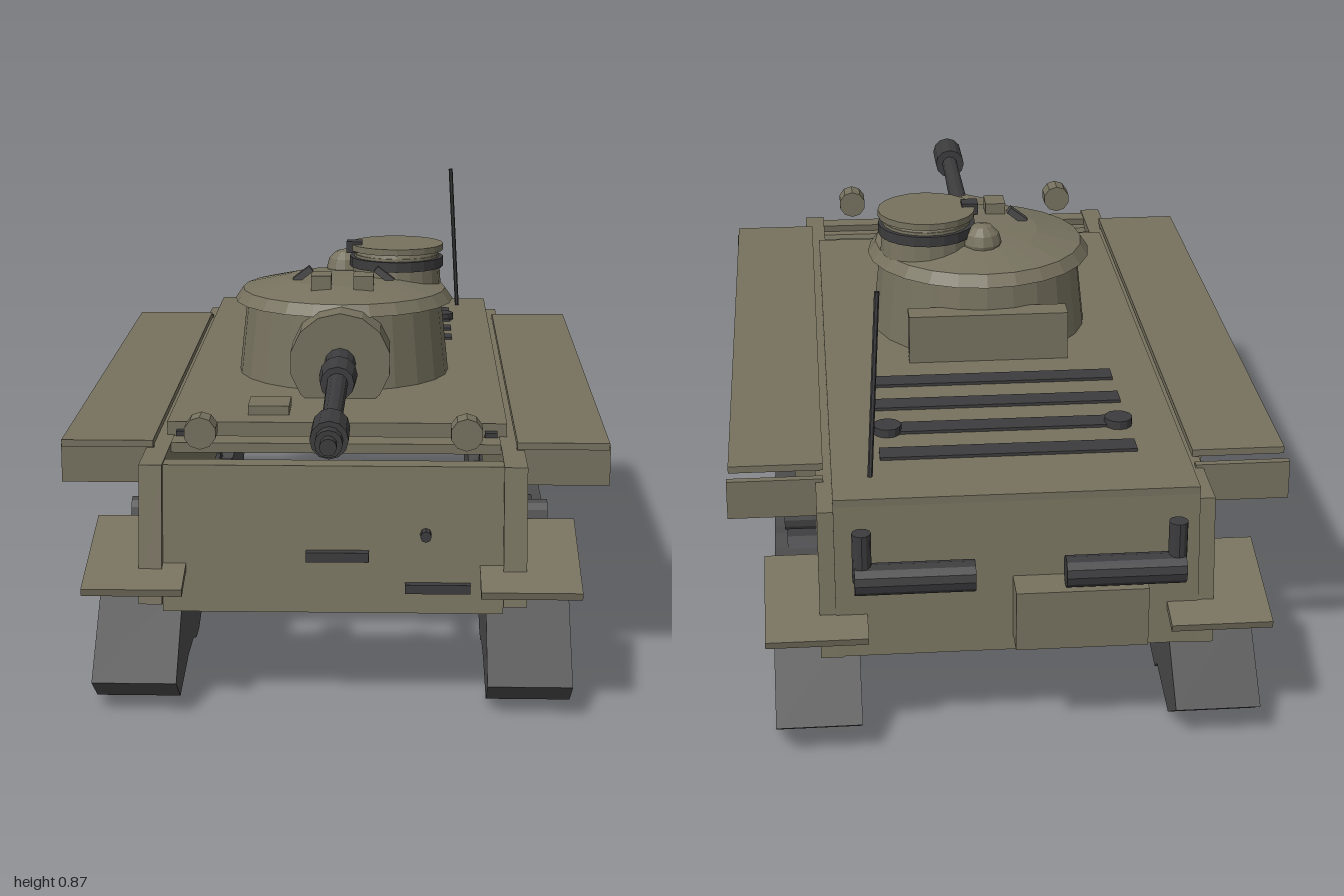
import * as THREE from 'three';

const mat = (color) => new THREE.MeshStandardMaterial({ color, flatShading: true, side: THREE.DoubleSide });

export function createModel() {
  const root = new THREE.Group();
  const olive = mat(0x77725f), dark = mat(0x3c3c3e), trackGrey = mat(0x4c4c4d);

  const add = (name, geo, m, x = 0, y = 0, z = 0) => {
    const mesh = new THREE.Mesh(geo, m);
    mesh.name = name;
    mesh.position.set(x, y, z);
    root.add(mesh);
    return mesh;
  };
  // box given by its limits on each axis
  const box = (name, m, [x0, x1], [y0, y1], [z0, z1]) =>
    add(name, new THREE.BoxGeometry(x1 - x0, y1 - y0, z1 - z0), m, (x0 + x1) / 2, (y0 + y1) / 2, (z0 + z1) / 2);
  const cyl = (name, m, r0, r1, h, axis, x, y, z, n = 12) => {
    const g = new THREE.CylinderGeometry(r0, r1, h, n);
    if (axis === 'x') g.rotateZ(Math.PI / 2);
    if (axis === 'z') g.rotateX(Math.PI / 2);
    return add(name, g, m, x, y, z);
  };
  // side outline of [z, y] points, extruded between x0 and x1
  const slab = (name, m, pts, x0, x1) => {
    const shape = new THREE.Shape(pts.map(([z, y]) => new THREE.Vector2(z, y)));
    const g = new THREE.ExtrudeGeometry(shape, { depth: x1 - x0, bevelEnabled: false });
    g.rotateY(-Math.PI / 2);
    return add(name, g, m, x1, 0, 0);
  };

  // Hull: open-bottomed shell of plates
  const W = 0.33;
  box('deck', olive, [-0.345, 0.345], [0.475, 0.505], [-0.905, 0.5]);
  box('frontCrossPlate', olive, [-W, W], [0.46, 0.48], [0.515, 0.575]);
  slab('frontPlate', olive, [[0.73, 0.475], [0.765, 0.19], [0.735, 0.19], [0.685, 0.475]], -W, W);
  slab('lowerFrontPlate', olive, [[0.685, 0.46], [0.59, 0.14], [0.565, 0.14], [0.66, 0.46]], -W, W);
  slab('rearPlate', olive, [[-0.905, 0.49], [-0.88, 0.49], [-0.905, 0.19], [-0.935, 0.19]], -0.345, 0.345);

  // Road wheel positions and track outline
  const wheels = [0.39, 0.203, 0.016, -0.171, -0.358, -0.545];
  const bottom = [], top = [];
  wheels.forEach((z) => {
    bottom.push([z + 0.094, 0.037], [z + 0.03, 0.016], [z - 0.03, 0.016]);
    top.unshift([z - 0.05, 0.147], [z, 0.155], [z + 0.05, 0.147]);
  });
  const trackOutline = [
    [0.66, 0.215], [0.832, 0.065], [0.755, 0.012], [0.59, 0.037], ...bottom,
    [-0.64, 0.037], [-0.735, 0.016], [-0.76, 0.037], [-0.9, 0.012], [-0.985, 0.068], [-0.83, 0.215],
    [-0.69, 0.15], ...top, [0.52, 0.15],
  ];

  for (const s of [1, -1]) {
    const span = (a, b) => (s > 0 ? [a, b] : [-b, -a]);
    slab('sidePlate', olive, [[0.745, 0.478], [0.785, 0.21], [0.71, 0.188], [-0.935, 0.188], [-0.9, 0.478]], ...span(W, 0.375));

    // Fender with its end plates and sloping mudguards
    box('fender', olive, span(0.36, 0.542), [0.483, 0.497], [-0.73, 0.625]);
    box('fenderEndPlate', olive, span(0.36, 0.545), [0.407, 0.485], [0.595, 0.61]);
    box('fenderEndPlate', olive, span(0.36, 0.545), [0.407, 0.485], [-0.772, -0.757]);
    const guardF = box('frontMudguard', olive, span(0.285, 0.478), [0.28, 0.295], [0.575, 0.85]);
    guardF.rotation.x = 0.26;
    const guardR = box('rearMudguard', olive, span(0.285, 0.478), [0.273, 0.288], [-0.992, -0.755]);
    guardR.rotation.x = -0.255;

    // Side fittings
    box('sideStowageBox', olive, span(0.315, 0.415), [0.37, 0.43], [-0.545, -0.39]);
    box('sideTool', dark, span(0.37, 0.388), [0.3, 0.318], [-0.045, 0.2]);
    for (const z of [0.333, -0.487]) cyl('sideDrum', trackGrey, 0.033, 0.033, 0.1, 'x', s * 0.39, 0.268, z);

    // Running gear
    slab('track', trackGrey, trackOutline, ...span(0.3, 0.464));
    wheels.forEach((z) => {
      cyl('roadWheel', dark, 0.085, 0.085, 0.11, 'x', s * 0.382, 0.085, z, 16);
    });
    for (const z of [0.6, -0.765]) {
      cyl('endWheel', dark, 0.075, 0.075, 0.12, 'x', s * 0.385, 0.157, z, 16);
      cyl('endWheelHub', trackGrey, 0.02, 0.02, 0.15, 'x', s * 0.385, 0.18, z);
    }

    // Lamps, deck caps and exhausts
    cyl('headlamp', olive, 0.032, 0.032, 0.05, 'z', s * 0.258, 0.535, 0.695, 10);
    cyl('deckCap', dark, 0.028, 0.028, 0.018, 'y', s * 0.23, 0.513, -0.615);
    cyl('exhaust', dark, 0.03, 0.03, 0.225, 'x', s * 0.197, 0.37, -0.965);
    cyl('exhaustPipe', dark, 0.018, 0.018, 0.1, 'y', s * 0.295, 0.415, -0.962);
    box('deckBracket', dark, span(0.3, 0.325), [0.465, 0.49], [0.495, 0.52]);

    // Roof periscopes and tilted covers
    box('periscope', olive, span(0.024, 0.068), [0.7, 0.74], [0.06, 0.12]);
    const cover = box('roofLoop', trackGrey, span(0.067, 0.113), [0.719, 0.734], [0.01, 0.03]);
    cover.rotation.z = -s * 0.65;
  }
  box('rearStowageBox', olive, [-0.24, 0.01], [0.22, 0.34], [-0.99, -0.92]);

  // Front plate fittings
  slab('visor', dark, [[0.77, 0.293], [0.77, 0.312], [0.74, 0.312], [0.74, 0.293]], -0.052, 0.07);
  box('frontTool', dark, [0.14, 0.267], [0.232, 0.25], [0.74, 0.775]);
  box('visorBacking', dark, [-0.055, 0.06], [0.4, 0.44], [0.64, 0.69]);
  cyl('hullGun', dark, 0.011, 0.011, 0.1, 'z', 0.18, 0.345, 0.72, 8);
  add('hullGunBall', new THREE.SphereGeometry(0.028, 10, 6), dark, 0.18, 0.345, 0.635);

  // Deck fittings
  for (const z of [-0.72, -0.605, -0.49, -0.375]) box('engineGrille', dark, [-0.25, 0.25], [0.5, 0.511], [z - 0.023, z + 0.023]);
  box('driverHatch', olive, [-0.185, -0.1], [0.5, 0.524], [0.35, 0.437]);
  const rod = new THREE.LineCurve3(new THREE.Vector3(0.272, 0.5, -0.81), new THREE.Vector3(0.251, 0.865, -0.77));
  add('antenna', new THREE.TubeGeometry(rod, 1, 0.005, 6), dark);

  // Turret: tapered wall, flared rim and shallow roof
  const TZ = -0.025;
  const wall = [[0.235, 0.5], [0.217, 0.667], [0.243, 0.667], [0.226, 0.692], [0.13, 0.715], [0, 0.72]];
  add('turret', new THREE.LatheGeometry(wall.map(([r, y]) => new THREE.Vector2(r, y)), 24), olive, 0, 0, TZ);
  box('turretBin', olive, [-0.17, 0.167], [0.506, 0.61], [-0.277, -0.225]);
  add('roofVent', new THREE.SphereGeometry(0.042, 12, 6), olive, 0, 0.72, -0.125);

  // Commander's cupola
  const CX = 0.117, CZ = -0.08;
  cyl('cupolaBase', olive, 0.095, 0.1, 0.07, 'y', CX, 0.725, CZ, 20);
  cyl('cupolaRing', dark, 0.105, 0.105, 0.022, 'y', CX, 0.743, CZ, 20);
  cyl('cupolaNeck', olive, 0.088, 0.095, 0.02, 'y', CX, 0.763, CZ, 20);
  cyl('cupolaHatch', olive, 0.105, 0.105, 0.014, 'y', CX, 0.776, CZ, 20);
  box('cupolaSight', dark, [0.005, 0.04], [0.765, 0.79], [-0.08, -0.045]);

  // Gun: each section is [rear z, front z, rear radius, front radius]
  const GY = 0.58;
  cyl('mantlet', olive, 0.108, 0.108, 0.14, 'z', 0, GY, 0.21, 14);
  [
    [0.27, 0.4, 0.034, 0.03], [0.39, 0.475, 0.04, 0.035], [0.47, 0.85, 0.022, 0.019],
    [0.84, 0.945, 0.036, 0.036], [0.945, 0.975, 0.026, 0.026], [0.97, 1, 0.016, 0.016],
  ].forEach(([a, b, ra, rb]) => cyl('gunBarrel', dark, rb, ra, b - a, 'z', 0, GY, (a + b) / 2));
  // hanging travel clamp below the barrel
  return root;
}
